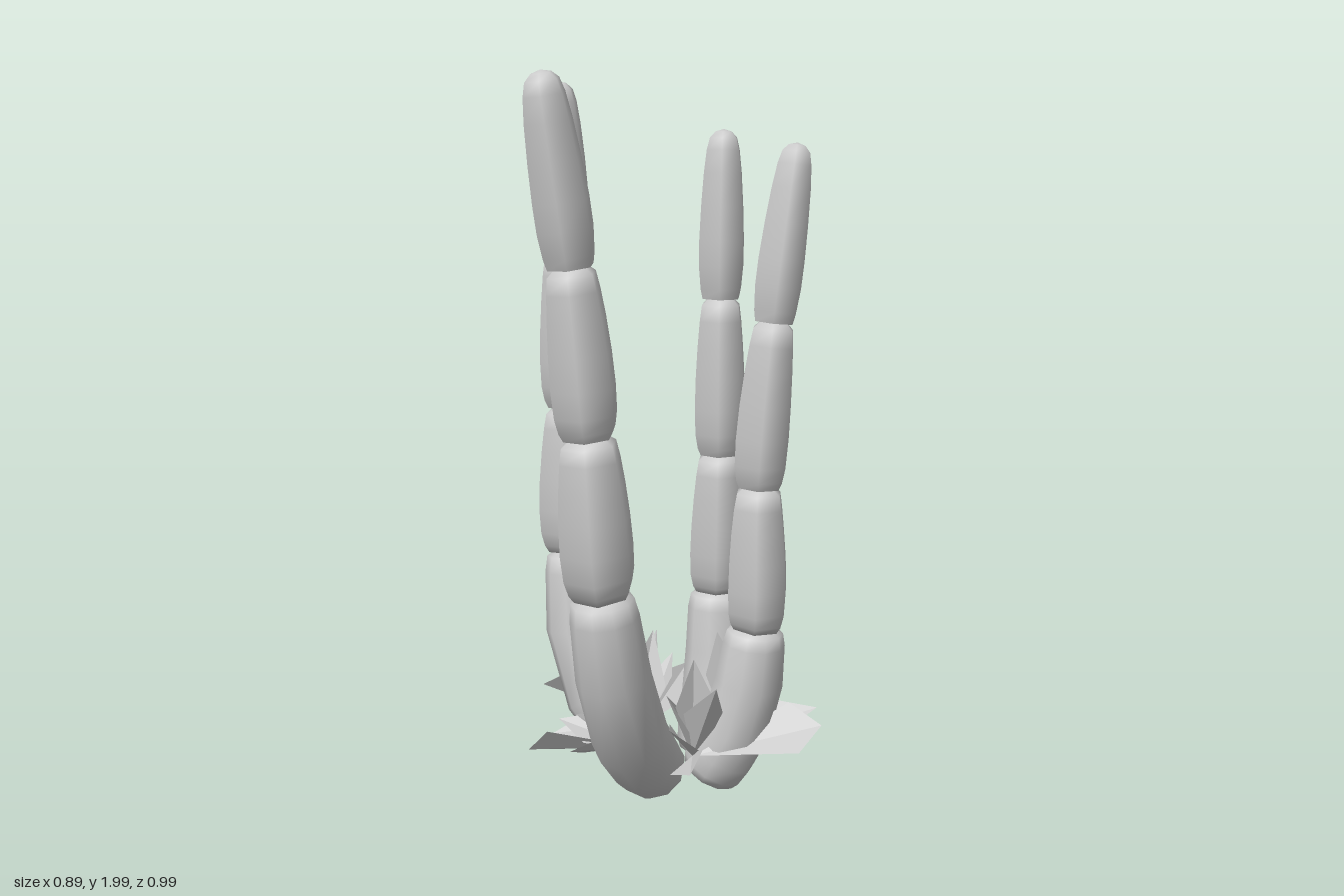
import * as THREE from 'three';
import { toCreasedNormals } from 'three/addons/utils/BufferGeometryUtils.js';

const V = (p) => new THREE.Vector3(...p);
const stalkMat = new THREE.MeshStandardMaterial({ color: 0xcccccc, side: THREE.DoubleSide });
const leafMat = new THREE.MeshStandardMaterial({ color: 0xcccccc, side: THREE.DoubleSide, flatShading: true });

// [position along segment, share of its widest radius]
const rootProfile = [[0.01, 0], [0, 0.62], [0.02, 0.8], [0.08, 0.92], [0.2, 0.98], [0.4, 1], [0.7, 0.95], [0.92, 0.86], [0.98, 0.78], [1, 0.5]];
const jointProfile = [[0, 0.5], [0, 0.76], [0.05, 0.88], [0.14, 0.97], [0.3, 1], [0.5, 0.97], [0.7, 0.9], [0.86, 0.82], [0.96, 0.74], [1, 0.5]];
const tipProfile = [[0, 0.5], [0, 0.82], [0.06, 0.91], [0.2, 1], [0.35, 1], [0.55, 0.94], [0.75, 0.84], [0.88, 0.73], [0.95, 0.6], [0.985, 0.36], [1, 0]];

// Sweeps a profile of rings along the curve between two parameters
function segment(curve, u0, u1, radius, profile, sides) {
  const pos = [], index = [];
  profile.forEach(([t, r], row) => {
    const u = THREE.MathUtils.lerp(u0, u1, t);
    const c = curve.getPoint(u);
    const tangent = curve.getTangent(u);
    const a = new THREE.Vector3().crossVectors(tangent, V([0, 0, 1])).normalize();
    const b = new THREE.Vector3().crossVectors(a, tangent);
    for (let i = 0; i < sides; i++) {
      const angle = (i / sides) * Math.PI * 2 + 0.3;
      const p = c.clone().addScaledVector(a, Math.cos(angle) * r * radius).addScaledVector(b, Math.sin(angle) * r * radius);
      pos.push(p.x, p.y, p.z);
      if (row > 0) {
        const j = (i + 1) % sides, lo = (row - 1) * sides, hi = row * sides;
        index.push(lo + i, hi + i, lo + j, lo + j, hi + i, hi + j);
      }
    }
  });
  const g = new THREE.BufferGeometry();
  g.setAttribute('position', new THREE.Float32BufferAttribute(pos, 3));
  g.setIndex(index);
  return toCreasedNormals(g, 1.15);
}

// Jointed stalk: points are base, bend, three joints, tip
function stalk(name, points, radii) {
  const group = new THREE.Group();
  group.name = name;
  const curve = new THREE.CatmullRomCurve3(points.map(V));
  radii.forEach((r, i) => {
    const u0 = i === 0 ? 0 : (i + 1) / 5;
    const profile = i === 0 ? rootProfile : i === 3 ? tipProfile : jointProfile;
    const mesh = new THREE.Mesh(segment(curve, u0, (i + 2) / 5, r, profile, i === 0 ? 10 : 6), stalkMat);
    mesh.name = ['rootSegment', 'lowerSegment', 'upperSegment', 'tipSegment'][i];
    group.add(mesh);
  });
  return group;
}

// Pointed leaf folded along its middle, rolled about its length
function leaf(base, tip, width, roll, widest) {
  const b = V(base), t = V(tip);
  const dir = t.clone().sub(b);
  const axis = dir.clone().normalize();
  const side = new THREE.Vector3().crossVectors(dir, V([0, 1, 0])).normalize().applyAxisAngle(axis, roll);
  const up = new THREE.Vector3().crossVectors(side, axis);
  const mid = b.clone().addScaledVector(dir, widest);
  const l = mid.clone().addScaledVector(side, -width / 2).addScaledVector(up, width * 0.15);
  const r = mid.clone().addScaledVector(side, width / 2).addScaledVector(up, width * 0.15);
  const g = new THREE.BufferGeometry().setFromPoints([b, mid, l, b, r, mid, mid, t, l, mid, r, t]);
  g.computeVertexNormals();
  const mesh = new THREE.Mesh(g, leafMat);
  mesh.name = 'leaf';
  return mesh;
}

// Tuft of leaves from one base; leaves alternate in roll, the first is the broadest
function tuft(name, base, tips) {
  const group = new THREE.Group();
  group.name = name;
  tips.forEach((tip, i) => {
    const first = i === 0;
    group.add(leaf(base, tip, first ? 0.16 : 0.12, i % 2 ? -0.5 : 0.7, first ? 0.8 : 0.55));
  });
  return group;
}

export function createModel() {
  const model = new THREE.Group();
  model.name = 'stalkCluster';

  model.add(
    stalk('rightStalk', [[-0.085, 0.055, -0.115], [-0.27, 0.28, -0.14], [-0.325, 0.65, -0.165], [-0.335, 1.07, -0.175], [-0.345, 1.51, -0.18], [-0.36, 1.98, -0.165]], [0.102, 0.101, 0.089, 0.075]),
    stalk('frontStalk', [[-0.02, 0.06, -0.01], [-0.03, 0.3, 0.23], [-0.055, 0.68, 0.325], [-0.075, 1.1, 0.36], [-0.105, 1.53, 0.39], [-0.15, 2, 0.455]], [0.107, 0.102, 0.088, 0.075]),
    stalk('backStalk', [[0.055, 0.03, -0.25], [0.07, 0.24, -0.305], [0.065, 0.52, -0.32], [0.07, 0.93, -0.315], [0.07, 1.38, -0.315], [0.073, 1.85, -0.32]], [0.1, 0.09, 0.08, 0.07]),
    stalk('leftStalk', [[0.115, 0.045, -0.08], [0.21, 0.24, -0.075], [0.25, 0.5, -0.07], [0.255, 0.9, -0.07], [0.285, 1.35, -0.09], [0.33, 1.82, -0.135]], [0.1, 0.09, 0.081, 0.07]),
  );

  // Leaf tufts between the stalks
  model.add(
    tuft('frontRightTuft', [-0.08, 0.14, 0.02], [[-0.36, 0.13, 0.11], [-0.3, 0.2, 0.03], [-0.18, 0.2, 0.245], [-0.2, 0.27, 0.15], [-0.07, 0.44, -0.13], [-0.19, 0.38, -0.07], [-0.06, 0.42, 0.1]]),
    tuft('backRightTuft', [-0.11, 0.13, -0.19], [[-0.45, 0.2, -0.215], [-0.1, 0.28, -0.4], [-0.08, 0.22, -0.49], [-0.37, 0.1, -0.09], [-0.18, 0.36, -0.18], [-0.1, 0.4, -0.25]]),
    tuft('backLeftTuft', [0.14, 0.12, -0.2], [[0.23, 0.14, -0.435], [0.24, 0.28, -0.26], [0.17, 0.2, -0.485], [0.22, 0.34, -0.17], [0.39, 0.22, -0.24], [0.15, 0.4, -0.27], [0.11, 0.44, -0.17]]),
    tuft('frontLeftTuft', [0.1, 0.14, 0.03], [[0.445, 0.24, -0.06], [0.08, 0.27, 0.18], [0.155, 0.17, 0.225], [0.18, 0.36, 0.07], [0.1, 0.42, 0.02], [0.05, 0.34, 0.11]]),
  );
  return model;
}
